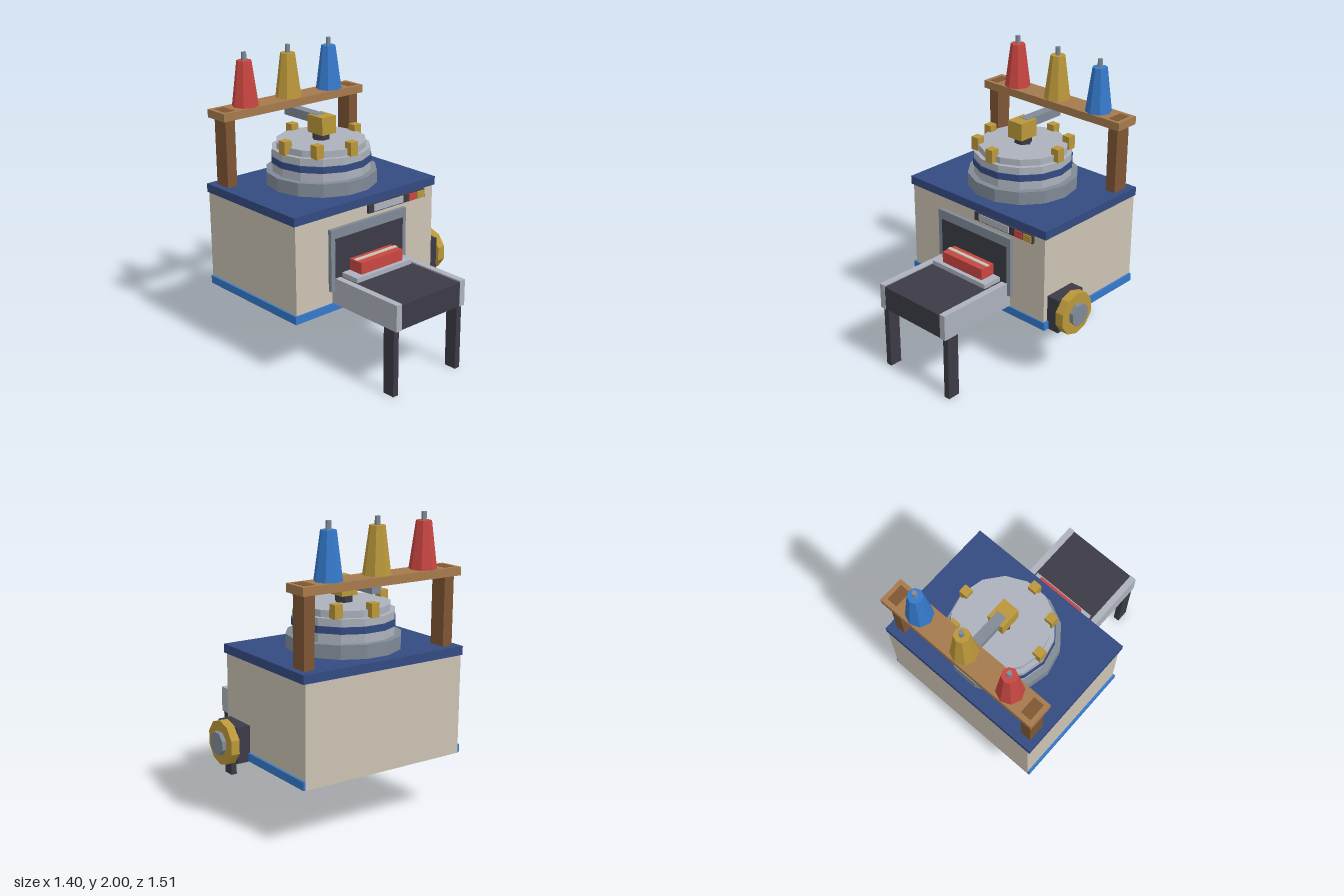
import * as THREE from 'three';

const mat = (name, color) => {
  const m = new THREE.MeshStandardMaterial({ color });
  m.name = name;
  return m;
};

export function createModel() {
  const cream = mat('cream', 0xcbc2b3), navy = mat('navy', 0x344b82), blue = mat('blue', 0x3579cb),
    steel = mat('steel', 0x808a96), silver = mat('silver', 0xacb1bc), dark = mat('charcoal', 0x3c3b46),
    gold = mat('gold', 0xba973a), red = mat('red', 0xc84641), wood = mat('wood', 0xa67a4c),
    darkWood = mat('darkWood', 0x7f5634);

  const model = new THREE.Group();
  model.name = 'press';
  const CX = -0.085, CZ = -0.3; // machine centre line and chamber centre

  const add = (name, geo, material) => {
    const mesh = new THREE.Mesh(geo, material);
    mesh.name = name;
    model.add(mesh);
    return mesh;
  };
  // box given by its extents
  const box = (name, material, x0, x1, y0, y1, z0, z1) => {
    const g = new THREE.BoxGeometry(x1 - x0, y1 - y0, z1 - z0);
    g.translate((x0 + x1) / 2, (y0 + y1) / 2, (z0 + z1) / 2);
    return add(name, g, material);
  };
  // faceted upright prism; turn = fraction of one side
  const prism = (name, material, x, z, y0, y1, rBottom, rTop, n, turn = 0) => {
    const g = new THREE.CylinderGeometry(rTop, rBottom, y1 - y0, n).toNonIndexed();
    g.rotateY((turn * Math.PI * 2) / n);
    g.computeVertexNormals();
    g.translate(x, (y0 + y1) / 2, z);
    return add(name, g, material);
  };

  // cabinet
  box('cabinet', cream, -0.69, 0.52, 0.4, 1.066, -0.755, 0.155);
  box('baseTrim', blue, -0.705, 0.535, 0.402, 0.457, -0.753, 0.165);
  box('topPlate', navy, -0.705, 0.535, 1.066, 1.125, -0.755, 0.165);

  // round chamber
  prism('chamberBase', steel, CX, CZ, 1.125, 1.215, 0.378, 0.378, 14, 0.5);
  prism('chamberWall', silver, CX, CZ, 1.215, 1.37, 0.335, 0.335, 14, 0.5);
  prism('chamberBand', navy, CX, CZ, 1.275, 1.32, 0.342, 0.342, 14, 0.5);
  prism('chamberLid', silver, CX, CZ, 1.37, 1.415, 0.305, 0.305, 14, 0.5);

  // lid clamps, two of the eight places stay empty
  for (const k of [0, 2, 3, 4, 6, 7]) {
    const a = (k * Math.PI) / 4;
    const x = CX + 0.305 * Math.cos(a), z = CZ + 0.305 * Math.sin(a);
    box('lidClamp', gold, x - 0.03, x + 0.03, 1.368, 1.46, z - 0.03, z + 0.03);
  }

  // feed head and arm
  prism('headNeck', dark, CX, CZ, 1.41, 1.47, 0.06, 0.06, 6, 0.5);
  box('feedHead', gold, -0.145, -0.025, 1.46, 1.58, -0.365, -0.215);
  box('feedArm', steel, -0.12, -0.05, 1.52, 1.583, -0.64, -0.3);

  // rack with spools
  box('rackBeam', wood, -0.69, 0.52, 1.585, 1.64, -0.73, -0.55);
  for (const x of [-0.6225, 0.4525])
    box('rackPost', darkWood, x - 0.0375, x + 0.0375, 1.125, 1.642, -0.697, -0.577);
  [[-0.45, red], [CX, gold], [0.278, blue]].forEach(([x, m]) => {
    prism('spool', m, x, -0.638, 1.64, 1.945, 0.09, 0.05, 8);
    prism('spoolPin', steel, x, -0.638, 1.94, 2, 0.017, 0.017, 6);
  });

  // feed opening
  box('openingFrame', steel, -0.42, 0.245, 0.55, 0.975, 0.15, 0.182);
  box('openingPanel', dark, -0.385, 0.213, 0.58, 0.91, 0.18, 0.186);

  // conveyor
  box('conveyorBelt', dark, -0.345, 0.175, 0.463, 0.63, 0.155, 0.753);
  for (const x of [-0.3675, 0.1975]) {
    box('conveyorRail', silver, x - 0.0225, x + 0.0225, 0.46, 0.64, 0.155, 0.755);
    box('conveyorLeg', dark, x - 0.0215, x + 0.0215, 0, 0.46, 0.64, 0.73);
  }

  // tray with a banded block
  box('tray', silver, -0.33, 0.158, 0.635, 0.667, 0.18, 0.33);
  box('block', red, -0.265, 0.1, 0.667, 0.746, 0.18, 0.3);
  box('blockBand', cream, -0.265, 0.1, 0.746, 0.753, 0.225, 0.252);

  // control panel
  box('controlPanel', dark, -0.085, 0.43, 1.005, 1.062, 0.15, 0.172);
  box('panelScreen', silver, -0.04, 0.225, 1.012, 1.06, 0.172, 0.178);
  box('redButton', red, 0.28, 0.345, 1.01, 1.058, 0.172, 0.18);
  box('goldButton', gold, 0.355, 0.42, 1.01, 1.058, 0.172, 0.18);

  // side hand wheel
  box('wheelMount', dark, 0.515, 0.615, 0.398, 0.64, -0.12, 0.12);
  const sideways = (mesh) => {
    mesh.rotation.z = -Math.PI / 2;
    mesh.position.set(0, 0.52, 0);
  };
  sideways(prism('handWheel', gold, 0, 0, 0.612, 0.672, 0.15, 0.15, 10, 0.5));
  sideways(prism('wheelHub', steel, 0, 0, 0.67, 0.7, 0.08, 0.08, 8, 0.5));

  return model;
}
